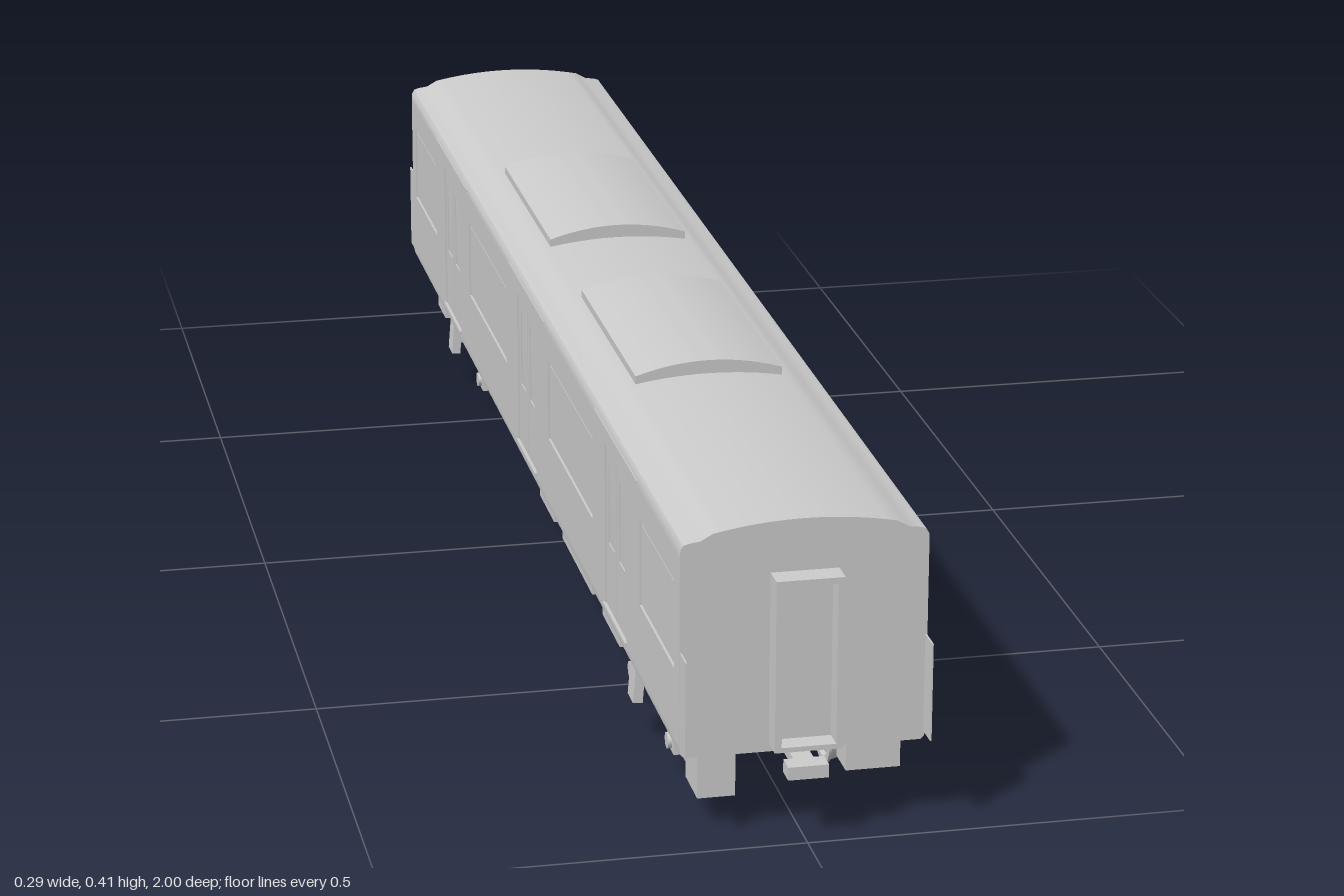
import * as THREE from 'three';
import { toCreasedNormals } from 'three/addons/utils/BufferGeometryUtils.js';

const material = new THREE.MeshStandardMaterial({ color: 0xcccccc });

function add(parent, name, geometry) {
  const mesh = new THREE.Mesh(geometry, material);
  mesh.name = name;
  parent.add(mesh);
  return mesh;
}

// Box given by its limits on each axis
function box(parent, name, x0, x1, y0, y1, z0, z1) {
  const mesh = add(parent, name, new THREE.BoxGeometry(x1 - x0, y1 - y0, z1 - z0));
  mesh.position.set((x0 + x1) / 2, (y0 + y1) / 2, (z0 + z1) / 2);
  return mesh;
}

function cylinder(parent, name, r, length, axis, x, y, z, sides = 20) {
  const g = new THREE.CylinderGeometry(r, r, length, sides);
  if (axis === 'x') g.rotateZ(Math.PI / 2);
  if (axis === 'z') g.rotateX(Math.PI / 2);
  const mesh = add(parent, name, g);
  mesh.position.set(x, y, z);
  return mesh;
}

// Symmetric section from its right half (listed upward), extruded along z
function section(half, z0, z1) {
  const all = [...half, ...half.filter((p) => p[0] > 0).reverse().map(([x, y]) => [-x, y])];
  const shape = new THREE.Shape(all.map(([x, y]) => new THREE.Vector2(x, y)));
  const g = new THREE.ExtrudeGeometry(shape, { depth: z1 - z0, bevelEnabled: false });
  g.translate(0, 0, z0);
  return toCreasedNormals(g, 0.5);
}

// Shallow roof arc from x = half to the centre line
function arc(half, yEdge, yTop, n = 10) {
  return Array.from({ length: n + 1 }, (_, i) => {
    const t = 1 - i / n;
    return [half * t, yTop - (yTop - yEdge) * t * t];
  });
}

// Wall plate in the z-y plane with rectangular holes [z0, z1, y0, y1]
function plate(outer, holes, depth) {
  const corners = ([a, b, c, d]) => [[a, c], [b, c], [b, d], [a, d]].map((p) => new THREE.Vector2(...p));
  const shape = new THREE.Shape(corners(outer));
  holes.forEach((h) => shape.holes.push(new THREE.Path(corners(h).reverse())));
  const g = new THREE.ExtrudeGeometry(shape, { depth, bevelEnabled: false });
  return g.rotateY(Math.PI / 2);
}

const DOORS = [-0.6, 0, 0.6];
const WINDOWS = [[0.745, 0.94], [0.155, 0.455], [-0.455, -0.155], [-0.94, -0.745]];

function buildBody(parent) {
  // Core is set back behind the side walls so doors and windows are recessed
  const half = [[0.139, 0.105], [0.1435, 0.109], [0.145, 0.116], [0.145, 0.12], [0.142, 0.12],
    [0.142, 0.35], [0.145, 0.35], [0.1445, 0.359], [0.141, 0.365], [0.135, 0.367], [0.121, 0.369],
    ...arc(0.107, 0.377, 0.388)];
  add(parent, 'carBody', section(half, -0.97, 0.97));

  for (const s of [-1, 1]) {
    const holes = [...DOORS.map((z) => [z - 0.067, z + 0.067, 0.123, 0.333]),
      ...WINDOWS.map(([a, b]) => [-b, -a, 0.205, 0.312])];
    add(parent, 'sideWall', plate([-0.97, 0.97, 0.12, 0.35], holes, 0.003))
      .position.x = s > 0 ? 0.142 : -0.145;
    // Glass stands slightly proud of the core inside its frame
    for (const [a, b] of WINDOWS) {
      box(parent, 'windowPane', s * 0.1425 - 0.001, s * 0.1425 + 0.001, 0.209, 0.308, a + 0.004, b - 0.004);
    }
    for (const z of DOORS) {
      for (const k of [-1, 1]) {
        const c = -(z + k * 0.033);
        const leaf = plate([c - 0.031, c + 0.031, 0.125, 0.33], [[c - 0.018, c + 0.018, 0.21, 0.312]], 0.0015);
        add(parent, 'doorLeaf', leaf).position.x = s > 0 ? 0.142 : -0.1435;
      }
      box(parent, 'doorSill', s * 0.1455 - 0.002, s * 0.1455 + 0.002, 0.121, 0.126, z - 0.07, z + 0.07);
      box(parent, 'rainGutter', s * 0.145 - 0.001, s * 0.145 + 0.001, 0.353, 0.356, z - 0.13, z + 0.13);
    }
  }

  // Roof air-conditioning units
  for (const s of [-1, 1]) {
    const z0 = s > 0 ? 0.11 : -0.46;
    add(parent, 'roofUnit', section([[0.092, 0.376], ...arc(0.092, 0.39, 0.405)], z0, z0 + 0.35));
  }
}

function buildEnd(parent, s) {
  const end = new THREE.Group();
  end.name = 'carEnd';
  // Open gangway frame
  for (const k of [-1, 1]) {
    box(end, 'gangwaySide', k * 0.036 - 0.004, k * 0.036 + 0.004, 0.115, 0.325, 0.968, 1);
    // Thin corner guards
    box(end, 'cornerGuard', k * 0.1435 - 0.001, k * 0.1435 + 0.001, 0.115, 0.235, 0.965, 1);
  }
  box(end, 'gangwayTop', -0.032, 0.032, 0.317, 0.325, 0.968, 1);
  box(end, 'gangwayFloor', -0.032, 0.032, 0.115, 0.121, 0.968, 1);
  box(end, 'gangwayDoor', -0.032, 0.032, 0.121, 0.317, 0.968, 0.974);
  // Coupler
  box(end, 'couplerBar', -0.012, 0.012, 0.083, 0.095, 0.88, 0.985);
  box(end, 'couplerHead', -0.024, 0.024, 0.08, 0.096, 0.975, 1);
  box(end, 'couplerMount', -0.022, 0.022, 0.09, 0.107, 0.87, 0.91);
  // Equipment boxes below the end
  box(end, 'endBoxDeep', -0.115, -0.07, 0.035, 0.106, 0.865, 0.93);
  box(end, 'endBoxShallow', 0.06, 0.125, 0.057, 0.106, 0.89, 0.935);
  // Turn the front end about, keeping the boxes on the same side
  if (s < 0) {
    end.rotation.y = Math.PI;
    end.children.filter((m) => m.name.startsWith('endBox')).forEach((m) => { m.position.x *= -1; });
  }
  parent.add(end);
}

function buildBogie(parent, zc) {
  const bogie = new THREE.Group();
  bogie.name = 'bogie';
  bogie.position.z = zc;
  // Wheel profile: flange inside, tapered tread, dished disc
  const profile = [[0.009, -0.007], [0.03, -0.003], [0.034, -0.007], [0.043, -0.007], [0.043, -0.004],
    [0.039, -0.001], [0.037, 0.008], [0.033, 0.008], [0.03, 0.003], [0.009, 0.007]]
    .map(([r, y]) => new THREE.Vector2(r, y));
  for (const z of [-0.111, 0.111]) {
    cylinder(bogie, 'axle', 0.009, 0.2, 'x', 0, 0.043, z, 14);
    for (const s of [-1, 1]) {
      const wheel = toCreasedNormals(new THREE.LatheGeometry(profile, 28), 0.5);
      wheel.rotateZ(-Math.PI / 2);
      if (s < 0) wheel.rotateY(Math.PI);
      add(bogie, 'wheel', wheel).position.set(s * 0.077, 0.043, z);
      box(bogie, 'axleBox', s * 0.103 - 0.011, s * 0.103 + 0.011, 0.031, 0.057, z - 0.018, z + 0.018);
      cylinder(bogie, 'axleBoxCover', 0.01, 0.006, 'x', s * 0.116, 0.043, z, 14);
      for (const k of [-1, 1]) {
        cylinder(bogie, 'axleSpring', 0.008, 0.022, 'y', s * 0.103, 0.063, z + k * 0.012, 12);
      }
    }
  }
  // Side frames: raised over the axles and dropped in the middle
  const frame = new THREE.Shape([[-0.138, 0.07], [-0.085, 0.07], [-0.055, 0.05], [0.055, 0.05], [0.085, 0.07],
    [0.138, 0.07], [0.138, 0.083], [0.08, 0.083], [0.05, 0.066], [-0.05, 0.066], [-0.08, 0.083], [-0.138, 0.083]]
    .map((p) => new THREE.Vector2(...p)));
  for (const s of [-1, 1]) {
    const g = new THREE.ExtrudeGeometry(frame, { depth: 0.016, bevelEnabled: false });
    g.rotateY(Math.PI / 2);
    add(bogie, 'sideFrame', g).position.x = s * 0.103 - 0.008;
    cylinder(bogie, 'airSpring', 0.026, 0.03, 'y', s * 0.096, 0.09, 0);
    box(bogie, 'springSeat', s * 0.1 - 0.02, s * 0.1 + 0.02, 0.064, 0.076, -0.04, 0.04);
    // Outer hanger, leaning slightly outward toward the bottom
    const hanger = box(bogie, 'outerHanger', s * 0.132 - 0.006, s * 0.132 + 0.006, 0.052, 0.106, -0.016, 0.016);
    hanger.rotation.z = s * 0.08;
    box(bogie, 'brakeUnit', s * 0.077 - 0.012, s * 0.077 + 0.012, 0.036, 0.056, -0.06, -0.04);
    box(bogie, 'brakeUnit', s * 0.077 - 0.012, s * 0.077 + 0.012, 0.036, 0.056, 0.04, 0.06);
  }
  box(bogie, 'crossBeam', -0.096, 0.096, 0.052, 0.068, -0.03, 0.03);
  box(bogie, 'bolster', -0.11, 0.11, 0.088, 0.102, -0.03, 0.03);
  cylinder(bogie, 'centrePivot', 0.018, 0.055, 'y', 0, 0.08, 0);
  parent.add(bogie);
}

function buildUnderfloor(parent) {
  // Equipment boxes: x0, x1, bottom, z0, z1
  const boxes = [
    [0.06, 0.125, 0.042, 0.09, 0.19], [0.06, 0.125, 0.042, -0.18, -0.075],
    [-0.115, -0.06, 0.04, 0.365, 0.475], [-0.115, -0.06, 0.04, 0.09, 0.295],
    [-0.115, -0.06, 0.04, -0.075, 0.03], [-0.115, -0.06, 0.062, -0.465, -0.355],
  ];
  for (const [x0, x1, y, z0, z1] of boxes) box(parent, 'equipmentBox', x0, x1, y, 0.106, z0, z1);
  for (const z of [0.38, -0.412]) {
    cylinder(parent, 'airTank', 0.019, 0.108, 'z', 0.1, 0.084, z);
    for (const k of [-0.035, 0.035]) box(parent, 'tankStrap', 0.096, 0.104, 0.09, 0.107, z + k - 0.004, z + k + 0.004);
  }
}

export function createModel() {
  const model = new THREE.Group();
  model.name = 'railCarriage';
  buildBody(model);
  for (const s of [-1, 1]) {
    buildEnd(model, s);
    buildBogie(model, s * 0.665);
  }
  buildUnderfloor(model);
  return model;
}
